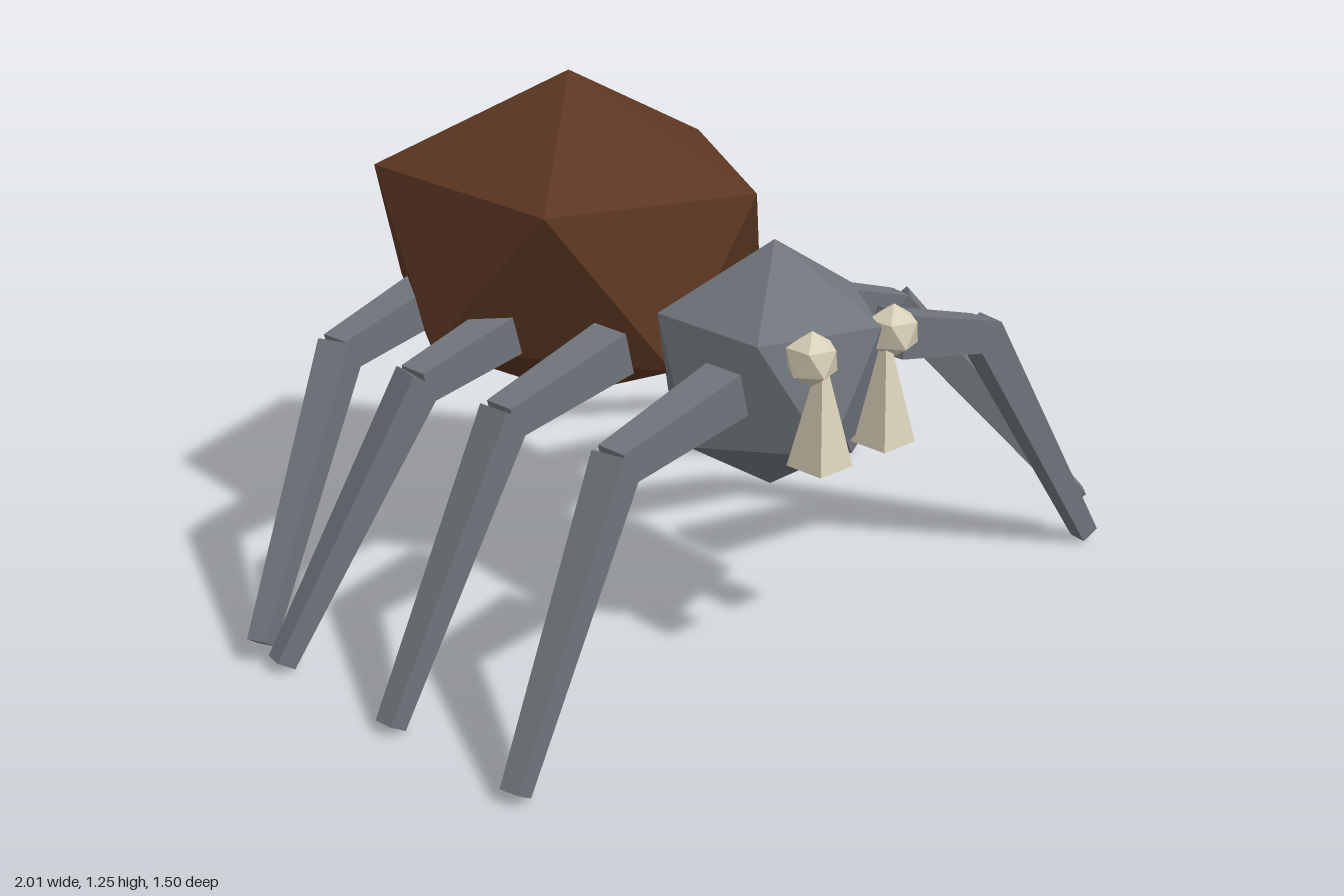
import * as THREE from 'three';

const mat = (name, color) => {
  const m = new THREE.MeshStandardMaterial({ color, flatShading: true });
  m.name = name;
  return m;
};

// Twenty-sided ball standing on a point, stretched to radii rx, ry, rz
function gemBall(rx, ry, rz) {
  const ring = (y, turn) => Array.from({ length: 5 }, (_, k) => {
    const a = (k * 2 * Math.PI) / 5 + turn;
    return [0.8944 * Math.cos(a), y, 0.8944 * Math.sin(a)];
  });
  const u = ring(0.4472, 0), l = ring(-0.4472, Math.PI / 5);
  const top = [0, 1, 0], bottom = [0, -1, 0], pos = [];
  for (let k = 0; k < 5; k++) {
    const n = (k + 1) % 5;
    pos.push(top, u[n], u[k], u[k], u[n], l[k], u[n], l[n], l[k], bottom, l[k], l[n]);
  }
  const g = new THREE.BufferGeometry();
  g.setAttribute('position', new THREE.Float32BufferAttribute(pos.flat(), 3));
  g.scale(rx, ry, rz);
  g.computeVertexNormals();
  return g;
}

// Square bar from a (side sa) to b (side sb)
function taperedBar(a, b, sa, sb) {
  const A = new THREE.Vector3(...a), B = new THREE.Vector3(...b);
  const g = new THREE.CylinderGeometry(sa * Math.SQRT1_2, sb * Math.SQRT1_2, A.distanceTo(B), 4);
  g.rotateY(Math.PI / 4).rotateX(Math.PI / 2);
  g.applyMatrix4(new THREE.Matrix4().lookAt(A, B, new THREE.Vector3(0, 1, 0)));
  const mid = A.add(B).multiplyScalar(0.5);
  return g.translate(mid.x, mid.y, mid.z);
}

export function createModel() {
  const model = new THREE.Group();
  model.name = 'spider';
  const brown = mat('brown', 0x5c3622);
  const grey = mat('grey', 0x70757c);
  const cream = mat('cream', 0xd8d0b8);

  const add = (parent, name, geometry, material, x = 0, y = 0, z = 0) => {
    const mesh = new THREE.Mesh(geometry, material);
    mesh.name = name;
    mesh.position.set(x, y, z);
    parent.add(mesh);
  };

  // Body
  add(model, 'abdomen', gemBall(0.4975, 0.42, 0.594), brown, 0, 0.84, -0.245);
  add(model, 'head', gemBall(0.3, 0.3, 0.3), grey, 0, 0.69, 0.45);

  // Eyes and fangs
  for (const [side, s] of [['left', 1], ['right', -1]]) {
    add(model, side + 'Eye', gemBall(0.065, 0.065, 0.065), cream, s * 0.135, 0.8, 0.695);
    const fang = new THREE.ConeGeometry(0.0735, 0.28, 4).rotateY(Math.PI / 4);
    add(model, side + 'Fang', fang, cream, s * 0.106, 0.68, 0.7);
  }

  // Legs: side, hip z, knee z, foot x, foot y, foot z
  const legs = [
    ['leftFrontLeg', 1, 0.57, 0.57, 0.975, 0.03, 0.65],
    ['leftSecondLeg', 1, 0.24, 0.305, 0.955, 0.13, 0.635],
    ['leftThirdLeg', 1, -0.095, -0.1, 0.975, 0.03, -0.17],
    ['leftBackLeg', 1, -0.42, -0.475, 0.96, 0.06, -0.66],
    ['rightFrontLeg', -1, 0.57, 0.57, 0.97, 0.03, 0.65],
    ['rightSecondLeg', -1, 0.205, 0.205, 0.97, 0.025, 0.23],
    ['rightThirdLeg', -1, -0.1, -0.1, 0.97, 0.03, -0.175],
    ['rightBackLeg', -1, -0.41, -0.395, 0.98, 0.06, -0.24],
  ];
  for (const [name, s, hipZ, kneeZ, footX, footY, footZ] of legs) {
    const leg = new THREE.Group();
    leg.name = name;
    const knee = [s * 0.61, 0.645, kneeZ];
    add(leg, 'upperLeg', taperedBar([s * 0.27, 0.73, hipZ], knee, 0.105, 0.08), grey);
    add(leg, 'lowerLeg', taperedBar([s * 0.6, 0.66, kneeZ], [s * footX, footY, footZ], 0.085, 0.05), grey);
    model.add(leg);
  }
  return model;
}
